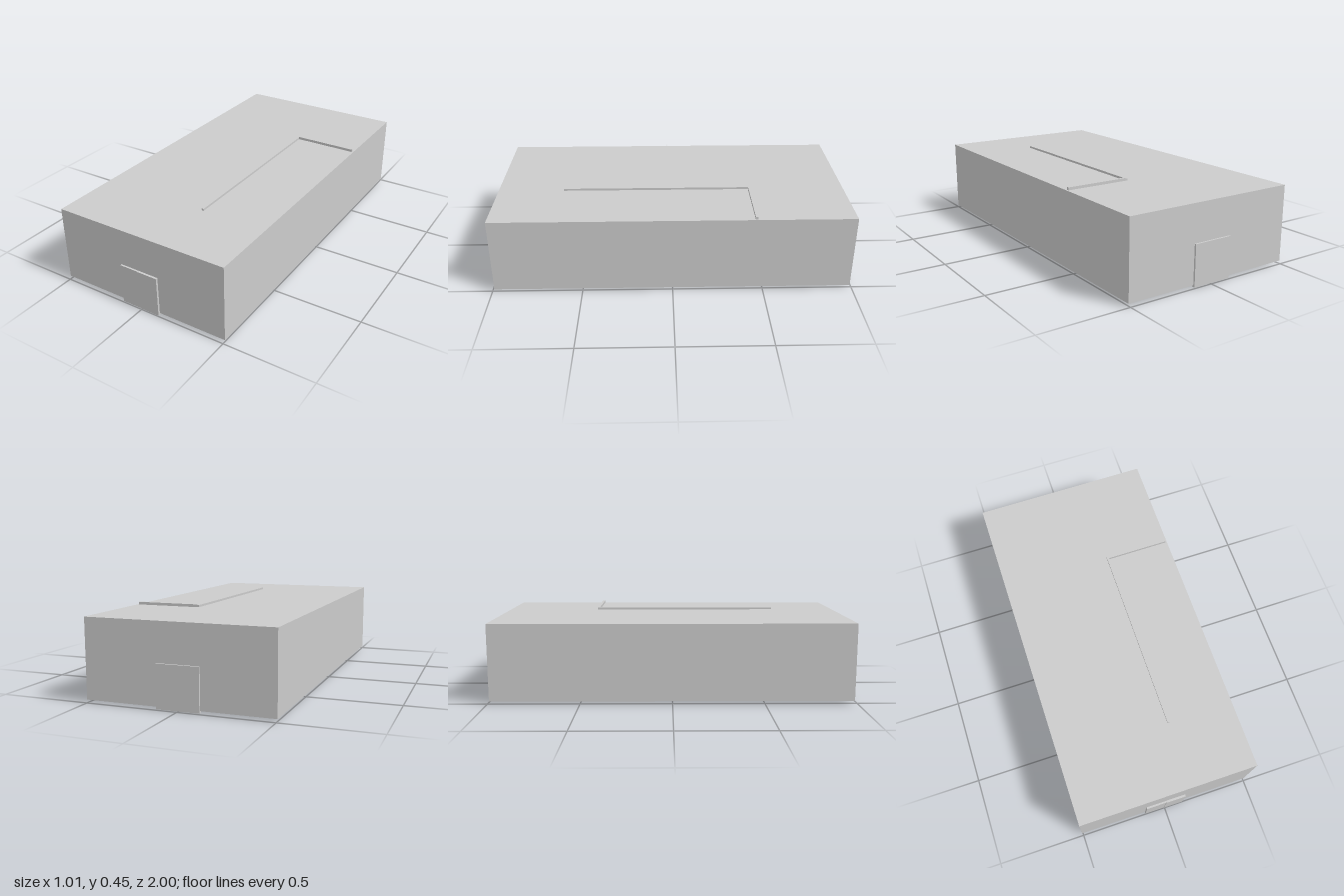
import * as THREE from 'three';

export function createModel() {
  const model = new THREE.Group();
  const material = new THREE.MeshStandardMaterial({ color: 0xcccccc, flatShading: true });

  // Box given by its lower and upper limits on each axis
  function addBlock(name, [x0, x1], [y0, y1], [z0, z1]) {
    const mesh = new THREE.Mesh(new THREE.BoxGeometry(x1 - x0, y1 - y0, z1 - z0), material);
    mesh.name = name;
    mesh.position.set((x0 + x1) / 2, (y0 + y1) / 2, (z0 + z1) / 2);
    model.add(mesh);
  }

  // Main hall
  addBlock('building', [-0.504, 0.504], [0.015, 0.437], [-0.99, 0.988]);

  // Partition walls, standing slightly proud of the roof and floor
  addBlock('longPartition', [0.124, 0.136], [0, 0.449], [-0.455, 0.615]);
  addBlock('crossPartition', [0.136, 0.495], [0.016, 0.452], [-0.455, -0.441]);

  // Double door at the front, single door at the back
  addBlock('frontDoorRight', [-0.119, -0.006], [0.005, 0.231], [0.98, 0.998]);
  addBlock('frontDoorLeft', [-0.005, 0.11], [0.005, 0.231], [0.98, 1]);
  addBlock('backDoor', [-0.119, 0.11], [0.005, 0.231], [-1, -0.98]);

  return model;
}
